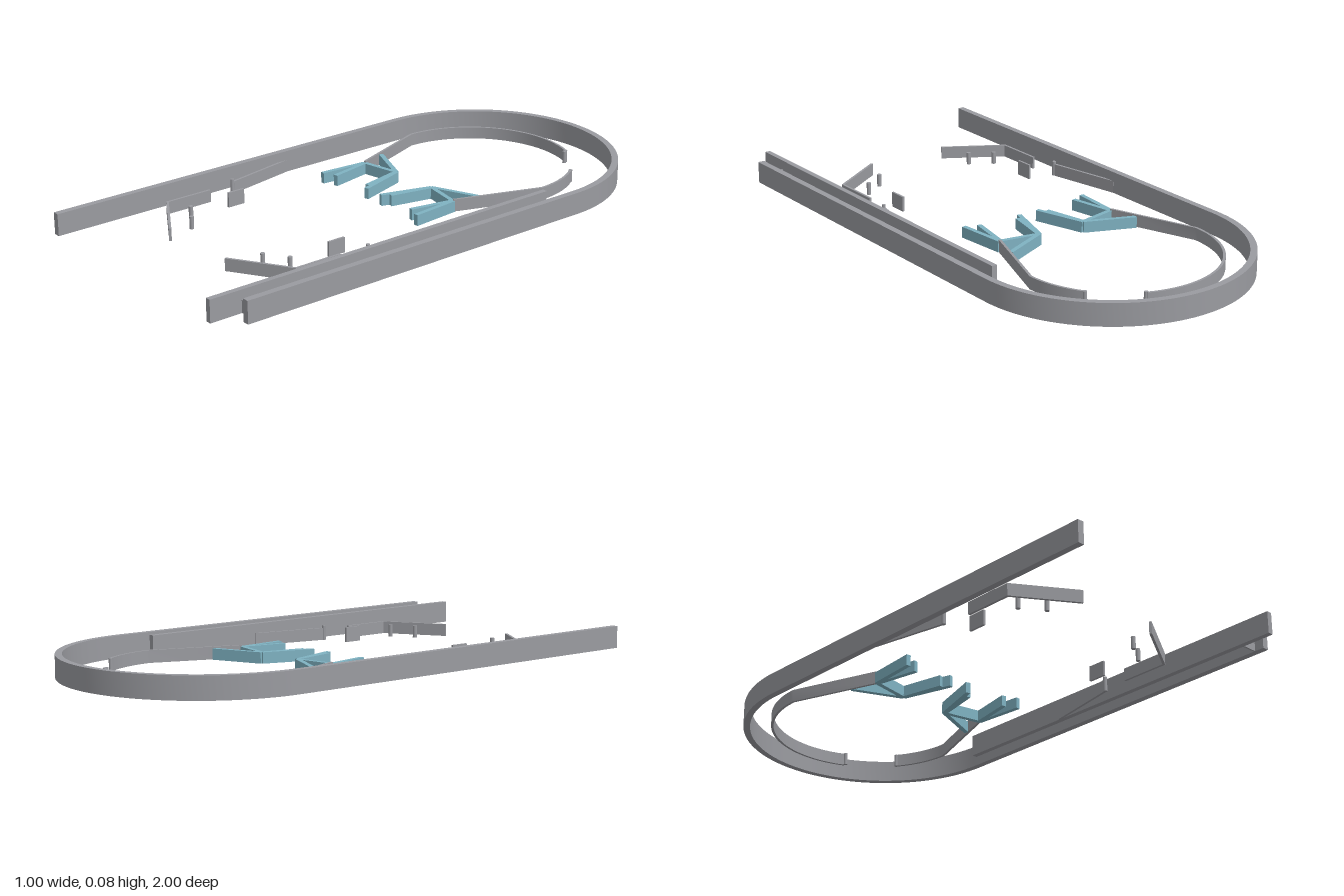
import * as THREE from 'three';
import { toCreasedNormals } from 'three/addons/utils/BufferGeometryUtils.js';

const AXIS = -0.04; // mirror line of the playfield furniture
const flip = ([x, z]) => [2 * AXIS - x, z];

// points [x, z] along an arc; angles in degrees, 90 points to the back (-z)
function arc(cx, cz, r, from, to, n) {
  return Array.from({ length: n + 1 }, (_, i) => {
    const a = THREE.MathUtils.degToRad(from + ((to - from) * i) / n);
    return [cx + r * Math.cos(a), cz - r * Math.sin(a)];
  });
}

// upright wall of constant thickness following a path, with mitred corners
function wallGeometry(path, width, height) {
  const pts = path.map(([x, z]) => new THREE.Vector2(x, -z));
  const left = [], right = [];
  pts.forEach((p, i) => {
    const d0 = p.clone().sub(pts[Math.max(i - 1, 0)]).normalize();
    const d1 = pts[Math.min(i + 1, pts.length - 1)].clone().sub(p).normalize();
    const t = d0.clone().add(d1).normalize();
    const cos = t.dot(i === 0 ? d1 : d0);
    const off = new THREE.Vector2(-t.y, t.x).multiplyScalar(width / 2 / cos);
    left.push(p.clone().add(off));
    right.push(p.clone().sub(off));
  });
  const geo = new THREE.ExtrudeGeometry(new THREE.Shape([...left, ...right.reverse()]), {
    depth: height, bevelEnabled: false,
  });
  geo.rotateX(-Math.PI / 2);
  return toCreasedNormals(geo, 0.4);
}

export function createModel() {
  const group = new THREE.Group();
  const grey = new THREE.MeshStandardMaterial({ color: 0x9a9ba0 });
  grey.name = 'metal grey';
  const blue = new THREE.MeshStandardMaterial({ color: 0x7fb2c2 });
  blue.name = 'pale blue';

  function wall(name, path, width, height, material = grey) {
    const mesh = new THREE.Mesh(wallGeometry(path, width, height), material);
    mesh.name = name;
    group.add(mesh);
  }
  function peg(name, [x, z], height, r = 0.007) {
    const mesh = new THREE.Mesh(new THREE.CylinderGeometry(r, r, height, 16), grey);
    mesh.position.set(x, height / 2, z);
    mesh.name = name;
    group.add(mesh);
  }

  // tall outer wall and launch lane
  wall('outerWall', [[0.488, 0.915], ...arc(0, -0.512 + 0.012, 0.488, 0, 180, 60), [-0.488, 1]], 0.024, 0.08);
  wall('laneWall', [[0.41, -0.43], [0.41, 1]], 0.02, 0.08);
  wall('laneStop', [[0.42, 0.877], [0.476, 0.877]], 0.006, 0.045);

  // upper loop rail, open at the upper right
  const H = 0.045, T = 0.009;
  wall('leftLoopRail', [...arc(AXIS, -0.505, 0.36, 66, 180, 40), [-0.285, -0.185]], T, H);
  wall('rightLoopRail', [...arc(AXIS, -0.505, 0.36, 34, 0, 14), [0.205, -0.185]], T, H);
  peg('loopEndPeg', [0.106, -0.826], H);
  peg('loopEndPeg', [0.258, -0.706], H);

  // mirrored furniture
  for (const [side, m] of [['right', (p) => p], ['left', flip]]) {
    const bars = [
      [[-0.315, -0.287], [-0.137, -0.212]],
      [[-0.287, -0.183], [-0.137, -0.212]],
      [[-0.137, -0.212], [-0.08, -0.025]],
      [[-0.14, -0.212], [-0.105, -0.05]],
      [[-0.285, -0.185], [-0.301, 0]],
      [[-0.282, -0.185], [-0.25, -0.02]],
    ];
    bars.forEach((b, i) => wall(`${side}FlipperBar${i + 1}`, b.map(m), 0.017, 0.04, blue));

    wall(`${side}SideGuide`, [[-0.48, 0.03], [-0.424, 0.315]].map(m), T, H);
    peg(`${side}SideGuidePeg`, m([-0.424, 0.313]), 0.055);
    wall(`${side}LanePlate`, [[-0.325, 0.335], [-0.325, 0.402]].map(m), 0.008, 0.055);
    peg(`${side}Peg`, m([-0.325, 0.56]), H, 0.008);
    peg(`${side}Peg`, m([-0.245, 0.612]), H, 0.008);
    wall(`${side}LowerRail`, [[-0.41, 0.42], [-0.41, 0.6], [-0.2, 0.73]].map(m), T, H);
  }
  return group;
}
